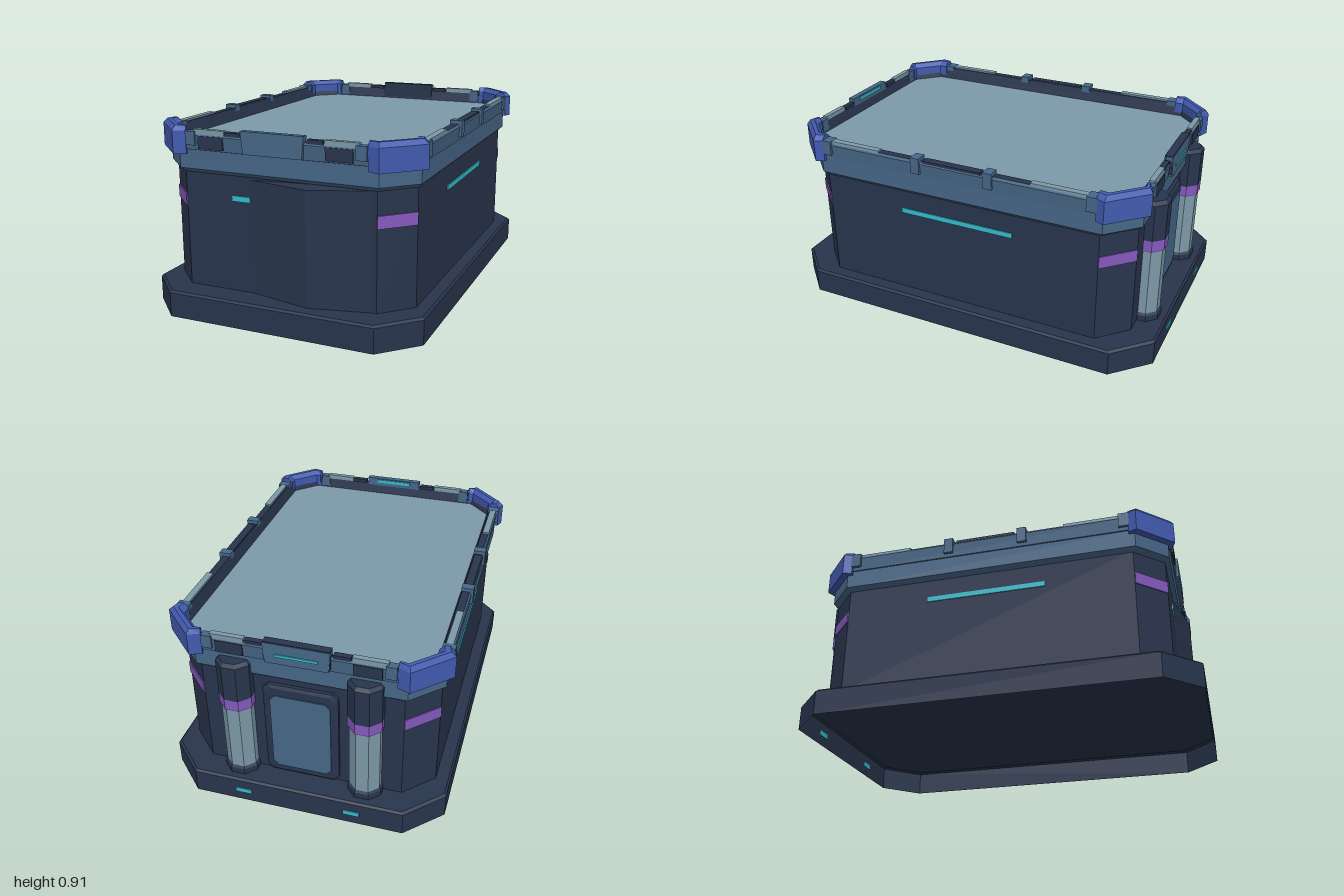
import * as THREE from 'three';

const mat = (name, color, extra = {}) => {
  const m = new THREE.MeshStandardMaterial({ color, ...extra });
  m.name = name;
  return m;
};

// Flat-faced skin over a list of rings of [x, y, z]; optional end caps.
function skin(rings, capStart = false, capEnd = false) {
  const out = [];
  const n = rings[0].length;
  const tri = (a, b, c) => out.push(...a, ...b, ...c);
  for (let r = 0; r < rings.length - 1; r++) {
    const lo = rings[r], up = rings[r + 1];
    for (let i = 0; i < n; i++) {
      const j = (i + 1) % n;
      tri(lo[i], lo[j], up[j]);
      tri(lo[i], up[j], up[i]);
    }
  }
  const first = rings[0], last = rings[rings.length - 1];
  for (let i = 1; i < n - 1; i++) {
    if (capStart) tri(first[0], first[i + 1], first[i]);
    if (capEnd) tri(last[0], last[i], last[i + 1]);
  }
  const g = new THREE.BufferGeometry();
  g.setAttribute('position', new THREE.Float32BufferAttribute(out, 3));
  g.computeVertexNormals();
  return g;
}

// Rectangle with cut corners at height y
const octo = (y, x, z, c) => [
  [-x + c, y, z], [x - c, y, z], [x, y, z - c], [x, y, -z + c],
  [x - c, y, -z], [-x + c, y, -z], [-x, y, -z + c], [-x, y, z - c],
];

// Regular octagon at height y, with flats facing the axes
const ring8 = (y, flat) => octo(y, flat, flat, flat * (2 - Math.SQRT2));

export function createModel() {
  const model = new THREE.Group();
  model.name = 'building';
  const navy = mat('navy', 0x29354d);
  const navyShell = mat('navy shell', 0x29354d, { side: THREE.DoubleSide });
  const blue = mat('steel blue', 0x476788);
  const corner = mat('corner blue', 0x425bb0);
  const purple = mat('purple', 0x8559be);
  const cyan = mat('cyan', 0x36bccd);
  const grey = mat('pale grey', 0x7d9aa8);

  const add = (name, geo, m, parent = model) => {
    const mesh = new THREE.Mesh(geo, m);
    mesh.name = name;
    parent.add(mesh);
    return mesh;
  };
  // Box given by its limits on each axis
  const box = (name, m, x0, x1, y0, y1, z0, z1) => {
    const mesh = add(name, new THREE.BoxGeometry(x1 - x0, y1 - y0, z1 - z0), m);
    mesh.position.set((x0 + x1) / 2, (y0 + y1) / 2, (z0 + z1) / 2);
    return mesh;
  };

  // Hollow plinth, open underneath
  add('plinth', skin([octo(0, 0.69, 0.995, 0.17), octo(0.12, 0.69, 0.995, 0.17),
    octo(0.13, 0.68, 0.985, 0.168)], false, true), navyShell);

  // Walls and the angled bay on the front
  add('walls', skin([octo(0.13, 0.62, 0.865, 0.138), octo(0.7, 0.62, 0.865, 0.138)]), navy);
  const bay = (y, z) => [[-0.16, y, 0.86], [0.17, y, z], [0.48, y, 0.86]];
  add('frontBay', skin([bay(0.13, 0.93), bay(0.678, 0.93), bay(0.69, 0.865)], false, true), navy);

  // Rim, parapet and roof
  add('rim', skin([octo(0.69, 0.62, 0.865, 0.138), octo(0.71, 0.64, 0.887, 0.143),
    octo(0.8, 0.64, 0.887, 0.143), octo(0.802, 0.644, 0.893, 0.143),
    octo(0.87, 0.65, 0.9, 0.145), octo(0.882, 0.642, 0.893, 0.145)]), blue);
  add('parapetInside', skin([octo(0.882, 0.642, 0.893, 0.145), octo(0.882, 0.605, 0.883, 0.12),
    octo(0.82, 0.587, 0.868, 0.112)]), navy);
  add('roof', skin([octo(0.815, 0.59, 0.87, 0.112), octo(0.822, 0.59, 0.87, 0.112)], false, true), grey);

  // Corner guards, swept round each corner: [outer x, outer z, inner x, inner z]
  const stations = [[0.452, 0.9, 0.46, 0.868], [0.51, 0.922, 0.485, 0.868],
    [0.675, 0.757, 0.592, 0.762], [0.658, 0.715, 0.592, 0.72]];
  for (const sx of [-1, 1]) for (const sz of [-1, 1]) {
    const rings = stations.map(([ox, oz, ix, iz]) => {
      const at = (t, y) => [sx * (ox + (ix - ox) * t), y, sz * (oz + (iz - oz) * t)];
      const ring = [at(0, 0.78), at(1, 0.78), at(1, 0.89), at(0.65, 0.913), at(0.3, 0.913), at(0, 0.89)];
      return sx * sz > 0 ? ring : ring.reverse();
    });
    add('cornerGuard', skin(rings, true, true), corner);

    // Painted band on each cut wall corner
    const band = add('cornerBand', new THREE.BoxGeometry(0.195, 0.06, 0.008), purple);
    band.position.set(sx * 0.552, 0.55, sz * 0.797);
    band.rotation.y = Math.atan2(sx, sz);
  }

  // Details along the long sides
  for (const s of [-1, 1]) {
    const side = (name, m, a, b, y0, y1, z0, z1) =>
      box(name, m, Math.min(s * a, s * b), Math.max(s * a, s * b), y0, y1, z0, z1);
    side('sideLight', cyan, 0.617, 0.625, 0.57, 0.596, -0.3, 0.3);
    side('sideLid', navy, 0.607, 0.648, 0.876, 0.889, -0.15, 0.15);
    for (const t of [-1, 1]) {
      side('sideRib', blue, 0.6, 0.66, 0.82, 0.9, t * 0.19 - 0.023, t * 0.19 + 0.023);
      side('sideEndRib', blue, 0.6, 0.66, 0.82, 0.892, t * 0.695 - 0.025, t * 0.695 + 0.025);
      side('sideStrip', grey, 0.612, 0.645, 0.876, 0.891, t * 0.535 - 0.135, t * 0.535 + 0.135);
    }
  }

  // Details along the front and back
  for (const s of [-1, 1]) {
    const end = (name, m, x0, x1, y0, y1, a, b) =>
      box(name, m, x0, x1, y0, y1, Math.min(s * a, s * b), Math.max(s * a, s * b));
    for (const t of [-1, 1]) {
      end('parapetWindow', navy, t * 0.32 - 0.065, t * 0.32 + 0.065, 0.81, 0.87, 0.895, 0.904);
      end('endStrip', grey, t * 0.33 - 0.08, t * 0.33 + 0.08, 0.876, 0.9, 0.872, 0.898);
      end('endLid', navy, t * 0.205 - 0.04, t * 0.205 + 0.04, 0.876, 0.895, 0.87, 0.898);
      end('endRib', blue, t * 0.425 - 0.025, t * 0.425 + 0.025, 0.825, 0.89, 0.87, 0.908);
    }
    // Centre plate, a little wider at its top
    const plate = (y, w, z0, z1) => [[-w, y, z1], [w, y, z1], [w, y, z0], [-w, y, z0]];
    const z = s * 0.895;
    add('centrePlate', skin([plate(0.805, 0.147, z - 0.016, z + 0.016),
      plate(0.91, 0.157, z - 0.016, z + 0.016)], true, true), blue);
    box('centreLight', cyan, -0.1, 0.1, s > 0 ? 0.885 : 0.845, s > 0 ? 0.903 : 0.858, z - 0.021, z - 0.015);
  }
  box('backPlateLining', navy, -0.155, 0.155, 0.82, 0.914, -0.908, -0.87);
  box('frontLight', cyan, -0.235, -0.14, 0.57, 0.597, 0.863, 0.872);

  // Back columns
  for (const s of [-1, 1]) {
    const column = new THREE.Group();
    column.name = 'backColumn';
    column.position.set(s * 0.31, 0, -0.873);
    model.add(column);
    add('columnFoot', skin([ring8(0.13, 0.082), ring8(0.16, 0.082), ring8(0.172, 0.074)], false, true), navy, column);
    add('columnShaft', skin([ring8(0.165, 0.074), ring8(0.525, 0.074)]), grey, column);
    add('columnBand', skin([ring8(0.52, 0.078), ring8(0.525, 0.081), ring8(0.58, 0.081)], true), purple, column);
    add('columnCap', skin([ring8(0.58, 0.081), ring8(0.765, 0.081), ring8(0.782, 0.066)], false, true), navy, column);
    box('plinthLight', cyan, s * 0.27 - 0.04, s * 0.27 + 0.04, 0.05, 0.075, -1, -0.992);
  }

  // Back door: frame with cut corners and an inset panel
  const cut = (w, y0, y1, c, z) => [
    [-w, y0 + c, z], [-w, y1 - c, z], [-w + c, y1, z], [w - c, y1, z],
    [w, y1 - c, z], [w, y0 + c, z], [w - c, y0, z], [-w + c, y0, z],
  ];
  add('doorFrame', skin([cut(0.18, 0.14, 0.66, 0.025, -0.86), cut(0.18, 0.14, 0.66, 0.025, -0.882),
    cut(0.165, 0.155, 0.645, 0.025, -0.89)], false, true), navy);
  add('doorPanel', skin([cut(0.145, 0.18, 0.605, 0.025, -0.888), cut(0.145, 0.18, 0.605, 0.025, -0.895)], false, true), blue);

  return model;
}
